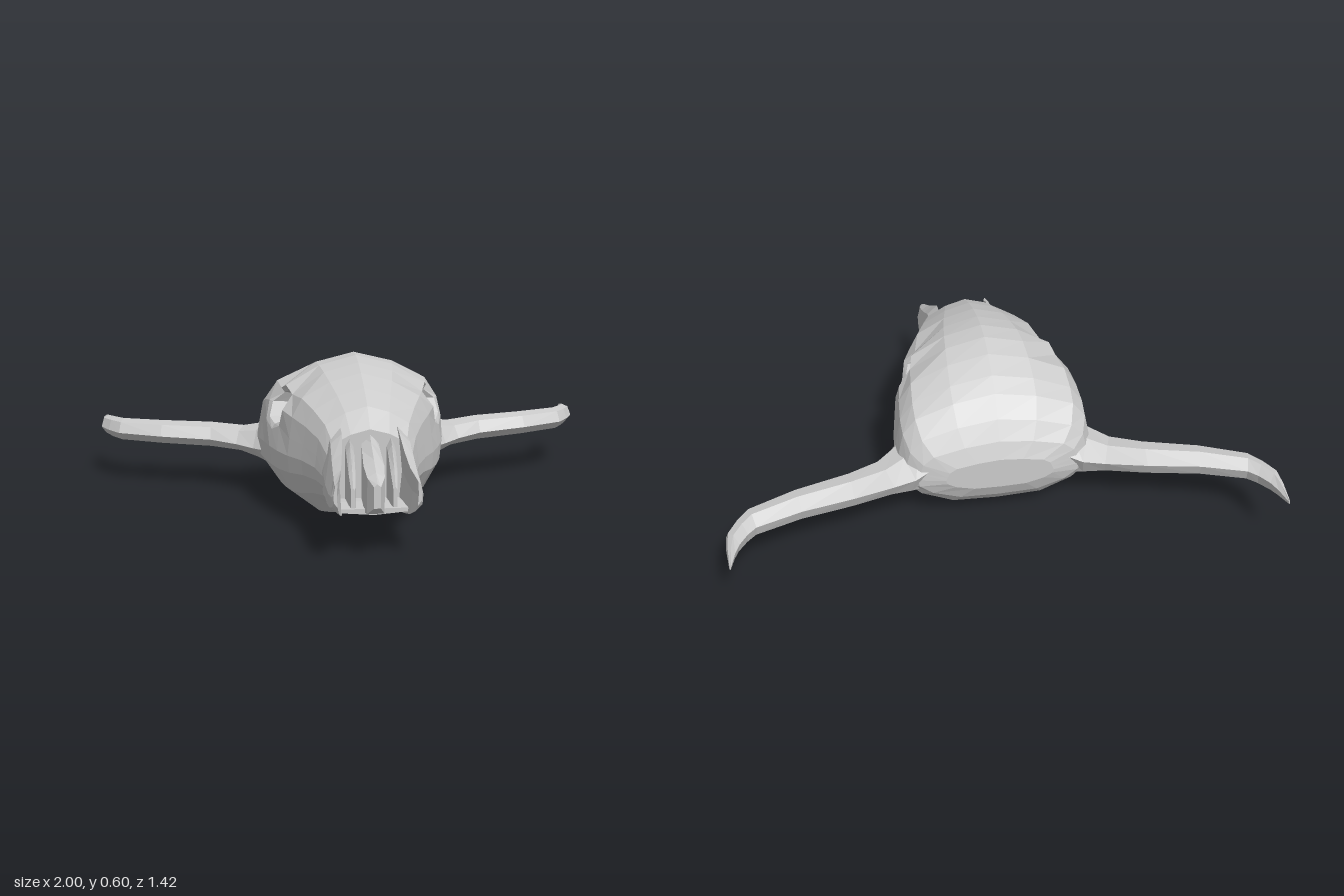
import * as THREE from 'three';

const bone = new THREE.MeshStandardMaterial({ color: 0xcccccc, flatShading: true });
const boneThin = new THREE.MeshStandardMaterial({ color: 0xcccccc, flatShading: true, side: THREE.DoubleSide });
const V = (x, y, z) => new THREE.Vector3(x, y, z);

// Skin a list of equal-length rings, cap the ends, and turn the faces outward.
function loft(name, rings, { skip = () => false, capStart = true, capEnd = true, material = bone } = {}) {
  const tris = [], n = rings[0].length;
  for (let i = 0; i < rings.length - 1; i++) {
    for (let j = 0; j < n; j++) {
      if (skip(i, j)) continue;
      const k = (j + 1) % n;
      const [a, b, c, d] = [rings[i][j], rings[i][k], rings[i + 1][k], rings[i + 1][j]];
      tris.push([a, b, c], [a, c, d]);
    }
  }
  const cap = (ring, flip) => {
    const mid = ring.reduce((s, p) => s.add(p), V(0, 0, 0)).divideScalar(n);
    ring.forEach((p, j) => {
      const q = ring[(j + 1) % n];
      tris.push(flip ? [mid, q, p] : [mid, p, q]);
    });
  };
  if (capStart) cap(rings[0], true);
  if (capEnd) cap(rings[rings.length - 1], false);
  const centre = rings.flat().reduce((s, p) => s.add(p), V(0, 0, 0)).divideScalar(n * rings.length);
  let volume = 0;
  for (const t of tris) {
    const [a, b, c] = t.map(p => p.clone().sub(centre));
    volume += a.dot(b.cross(c));
  }
  if (volume < 0) tris.forEach(t => t.reverse());
  const geometry = new THREE.BufferGeometry().setFromPoints(tris.flat());
  geometry.computeVertexNormals();
  const mesh = new THREE.Mesh(geometry, material);
  mesh.name = name;
  return mesh;
}

const mirrored = (rings, s) => rings.map(r => r.map(p => V(p.x * s, p.y, p.z)));

// Cranium stations: z, half width, bottom, top
const STATIONS = [
  [0.49, 0.162, 0.125, 0.425], [0.41, 0.187, 0.105, 0.49], [0.31, 0.228, 0.075, 0.535],
  [0.21, 0.272, 0.035, 0.57], [0.12, 0.305, 0.012, 0.592], [0.04, 0.33, 0.004, 0.605],
  [-0.04, 0.347, 0.003, 0.603], [-0.12, 0.36, 0.009, 0.58], [-0.2, 0.367, 0.02, 0.54],
  [-0.26, 0.365, 0.035, 0.5], [-0.315, 0.345, 0.062, 0.425], [-0.355, 0.3, 0.11, 0.355],
  [-0.38, 0.2, 0.165, 0.29],
];
// Half section from the ridge to the underside, as fractions of width and height
const PROFILE = [
  [0, 1], [0.42, 0.94], [0.8, 0.83], [0.93, 0.7], [0.97, 0.55],
  [1, 0.43], [0.98, 0.31], [0.82, 0.16], [0.48, 0.02], [0, 0],
];
const EYE = { y: 0.412, z: 0.04, r: 0.084, row: 4, col: 2 };

function craniumRings() {
  const rings = STATIONS.map(([z, w, lo, hi]) => {
    const half = PROFILE.map(([u, v]) => V(u * w, lo + v * (hi - lo), z));
    const other = half.slice(1, -1).reverse().map(p => V(-p.x, p.y, p.z));
    return [...half, ...other];
  });
  // Round the 2 x 2 patch of faces on each side into an eye socket rim
  const n = rings[0].length;
  for (let i = 0; i < 3; i++) {
    for (let j = 0; j < 3; j++) {
      if (i === 1 && j === 1) continue;
      for (const col of [EYE.col + j, n - EYE.col - j]) {
        const p = rings[EYE.row + i][col];
        const d = Math.hypot(p.y - EYE.y, p.z - EYE.z);
        p.y = EYE.y + (p.y - EYE.y) * EYE.r / d;
        p.z = EYE.z + (p.z - EYE.z) * EYE.r / d;
      }
    }
  }
  return rings;
}

// Eye socket: bevelled rim sinking into the skull
function socketRings(rings) {
  const walk = [[0, 0], [0, 1], [0, 2], [1, 2], [2, 2], [2, 1], [2, 0], [1, 0]];
  const rim = walk.map(([i, j]) => rings[EYE.row + i][EYE.col + j]);
  return [[1, 0], [0.76, 0.012], [0.68, 0.09]].map(([s, depth]) => rim.map(p =>
    V(p.x - depth, EYE.y + (p.y - EYE.y) * s, EYE.z + (p.z - EYE.z) * s)));
}

// Horn stations: front edge x, z, back edge x, z, centre height, half thickness
const HORN = [
  [0.33, -0.08, 0.24, -0.355, 0.225, 0.1], [0.385, -0.16, 0.31, -0.378, 0.212, 0.065],
  [0.45, -0.225, 0.39, -0.395, 0.212, 0.047], [0.55, -0.285, 0.54, -0.44, 0.218, 0.046],
  [0.75, -0.35, 0.73, -0.48, 0.22, 0.044], [0.92, -0.43, 0.89, -0.535, 0.22, 0.042],
  [0.965, -0.49, 0.92, -0.565, 0.22, 0.04], [0.998, -0.55, 0.95, -0.61, 0.22, 0.036],
  [0.998, -0.62, 0.967, -0.65, 0.22, 0.026], [0.99, -0.71, 0.984, -0.71, 0.22, 0.008],
];
const HEX = [[0, -0.15], [0.22, 0.8], [0.6, 1], [1, 0.35], [0.85, -0.75], [0.35, -1]];
const hornRings = HORN.map(([fx, fz, bx, bz, y, h]) =>
  HEX.map(([t, v]) => V(fx + (bx - fx) * t, y + v * h, fz + (bz - fz) * t)));

// Muzzle side wall stations: z, inner x, outer x, bottom, top
const WALL = [
  [0.44, 0.1, 0.168, 0.12, 0.425], [0.5, 0.1, 0.166, 0.132, 0.415], [0.58, 0.108, 0.166, 0.145, 0.365],
  [0.65, 0.118, 0.162, 0.162, 0.325], [0.695, 0.13, 0.157, 0.185, 0.305], [0.712, 0.136, 0.15, 0.21, 0.295],
];
const wallRings = WALL.map(([z, a, b, lo, hi]) => {
  const h = hi - lo, w = b - a;
  return [V(a, hi, z), V(a + 0.6 * w, hi - 0.13 * h, z), V(b, lo + 0.5 * h, z),
    V(b - 0.1 * w, lo + 0.2 * h, z), V(a, lo, z), V(a + 0.2 * w, lo + 0.5 * h, z)];
});

// Upright blade along z: stations are z, half thickness, bottom, top
const blade = (x, stations) => stations.map(([z, w, lo, hi]) => {
  const e = (hi - lo) * 0.12;
  return [V(x, hi, z), V(x + w, hi - e, z), V(x + w, lo, z), V(x - w, lo, z), V(x - w, hi - e, z)];
});

export function createModel() {
  const model = new THREE.Group();
  model.name = 'hornedSkull';

  const rings = craniumRings();
  const n = rings[0].length;
  const inSocket = (i, j) => (i === EYE.row || i === EYE.row + 1) &&
    [EYE.col, EYE.col + 1, n - EYE.col - 1, n - EYE.col - 2].includes(j);
  model.add(loft('cranium', rings, { skip: inSocket }));

  // Paired parts
  const sockets = socketRings(rings);
  const turbinate = blade(0.073, [[0.46, 0.016, 0.14, 0.41], [0.52, 0.014, 0.15, 0.375],
    [0.58, 0.012, 0.16, 0.31], [0.615, 0.007, 0.165, 0.25]]);
  for (const [side, s] of [['left', 1], ['right', -1]]) {
    model.add(loft(side + 'EyeSocket', mirrored(sockets, s), { capStart: false, material: boneThin }));
    model.add(loft(side + 'Horn', mirrored(hornRings, s)));
    model.add(loft(side + 'MuzzleWall', mirrored(wallRings, s)));
    model.add(loft(side + 'NasalRidge', mirrored(turbinate, s)));
  }

  // Middle of the muzzle
  model.add(loft('nasalSeptum', blade(0, [[0.46, 0.028, 0.14, 0.425], [0.52, 0.032, 0.15, 0.385],
    [0.6, 0.036, 0.16, 0.345], [0.66, 0.03, 0.17, 0.315], [0.7, 0.012, 0.2, 0.285]])));
  const floor = [[0.44, 0.13, 0.112, 0.175], [0.54, 0.125, 0.138, 0.18], [0.625, 0.12, 0.155, 0.178]];
  model.add(loft('nasalFloor', floor.map(([z, w, lo, hi]) =>
    [V(-w, hi, z), V(w, hi, z), V(w, lo + 0.01, z), V(0, lo, z), V(-w, lo + 0.01, z)])));
  return model;
}
